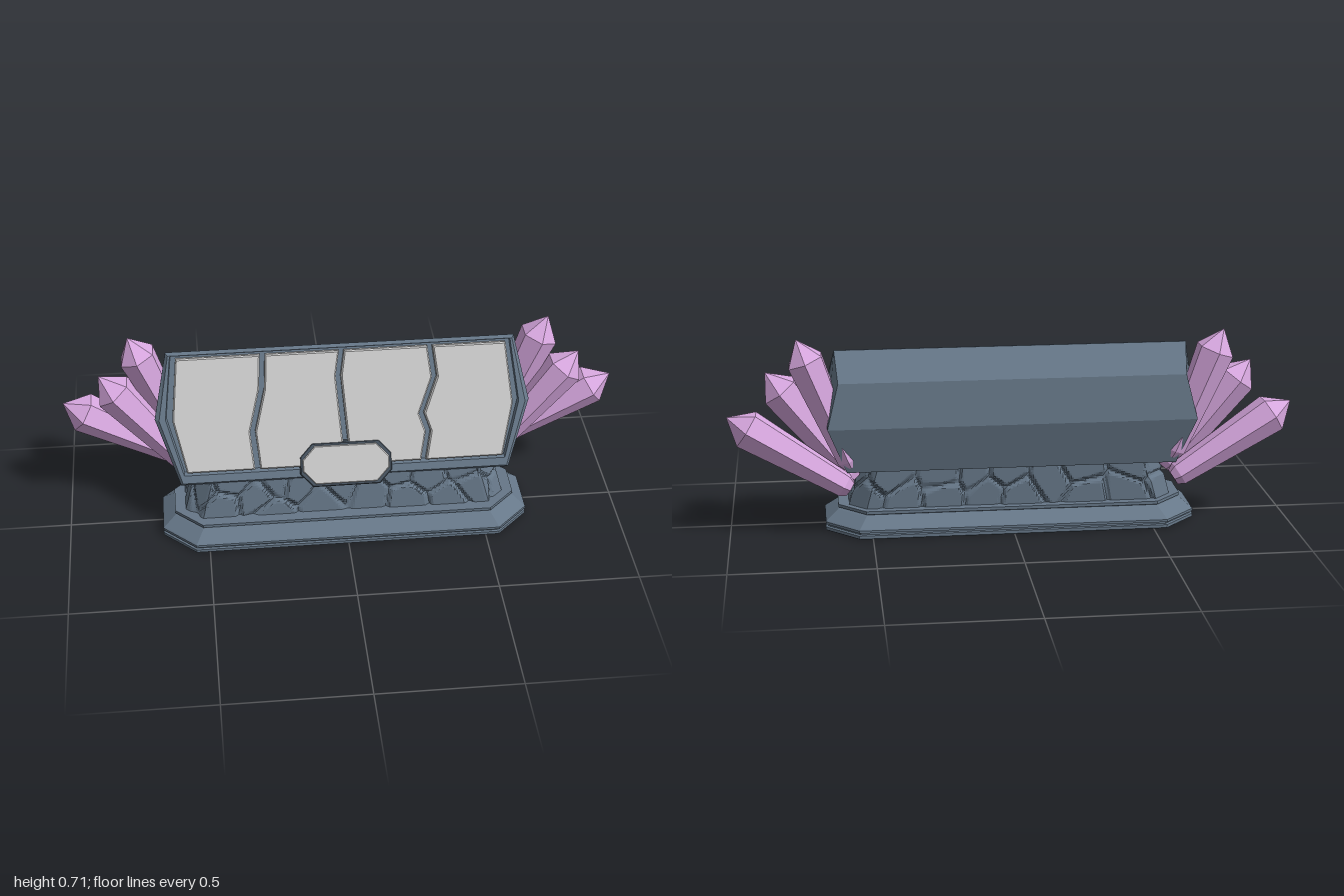
import * as THREE from 'three';

const slate = new THREE.MeshStandardMaterial({ color: 0x667788, flatShading: true });
const darkSlate = new THREE.MeshStandardMaterial({ color: 0x485460, flatShading: true });
const stone = new THREE.MeshStandardMaterial({ color: 0xcccccc, flatShading: true });
const violet = new THREE.MeshStandardMaterial({ color: 0xd8a8e0, flatShading: true });

function add(parent, name, geometry, material) {
  const mesh = new THREE.Mesh(geometry, material);
  mesh.name = name;
  parent.add(mesh);
  return mesh;
}

// Skin a stack of closed rings; each end is closed by strips across the ring
function loft(rings) {
  const pos = [];
  const quad = (a, b, c, d) => pos.push(...a, ...b, ...c, ...a, ...c, ...d);
  const n = rings[0].length;
  for (let r = 0; r < rings.length - 1; r++) {
    for (let i = 0; i < n; i++) {
      const j = (i + 1) % n;
      quad(rings[r][i], rings[r][j], rings[r + 1][j], rings[r + 1][i]);
    }
  }
  const first = rings[0], last = rings[rings.length - 1];
  for (let i = 0; i < n / 2 - 1; i++) {
    const k = n - 1 - i;
    quad(first[k], first[k - 1], first[i + 1], first[i]);
    quad(last[i], last[i + 1], last[k - 1], last[k]);
  }
  const g = new THREE.BufferGeometry();
  g.setAttribute('position', new THREE.Float32BufferAttribute(pos, 3));
  g.computeVertexNormals();
  return g;
}

// Rectangle with cut corners, counter-clockwise from above
function octagon(hx, front, back, cut, y) {
  return [
    [hx, y, front - cut], [hx, y, back + cut], [hx - cut, y, back], [-hx + cut, y, back],
    [-hx, y, back + cut], [-hx, y, front - cut], [-hx + cut, y, front], [hx - cut, y, front],
  ];
}

// Stepped plinth: [y, inset]
function plinth() {
  const profile = [[0, 0.004], [0.003, 0], [0.014, 0], [0.016, 0.008], [0.022, 0.008], [0.024, 0],
    [0.033, 0], [0.037, 0.004], [0.07, 0.045], [0.074, 0.052], [0.077, 0.046], [0.088, 0.046], [0.088, 0.055]];
  return loft(profile.map(([y, d]) => octagon(0.663 - d, 0.21 - d, -0.207 + d, 0.115 - d * 0.4, y)));
}

// Rough stone foot: broad cells of rock with shallow joints
function rockFoot() {
  let seed = 11;
  const rnd = () => (seed = (seed * 16807) % 2147483647) / 2147483647;
  const rows = 20, nu = 18, nv = 2, length = 2.5, height = 0.165;
  const seeds = [];
  for (let i = 0; i < nu; i++) {
    for (let j = 0; j < nv; j++) {
      seeds.push([(i + 0.5 * j + 0.1 + 0.7 * rnd()) / nu, (j + 0.1 + 0.8 * rnd()) / nv, rnd()]);
    }
  }
  const relief = (u, v) => {
    let d1 = 9, d2 = 9, lift = 0;
    for (const [su, sv, h] of seeds) {
      let du = Math.abs(u - su) % 1;
      du = Math.min(du, 1 - du) * length;
      const d = Math.hypot(du, (v - sv) * height);
      if (d < d1) { d2 = d1; d1 = d; lift = h; } else if (d < d2) d2 = d;
    }
    const body = THREE.MathUtils.smoothstep(d2 - d1, 0, 0.024);
    return -0.008 + body * (0.007 + 0.006 * lift);
  };
  const outline = (v) => octagon(0.58 - 0.045 * v, 0.122 - 0.03 * v, -0.13, 0.06, 0.08 + height * v)
    .map((p) => new THREE.Vector3(...p));
  const base = outline(0);
  const sides = base.map((p, i) => p.distanceTo(base[(i + 1) % 8]));
  const total = sides.reduce((a, b) => a + b);
  const rings = [];
  for (let r = 0; r <= rows; r++) {
    const v = r / rows, corners = outline(v), ring = [];
    let walked = 0;
    corners.forEach((a, i) => {
      const b = corners[(i + 1) % 8], t = b.clone().sub(a).normalize();
      const steps = Math.round(sides[i] / 0.008);
      for (let k = 0; k < steps; k++) {
        const p = a.clone().lerp(b, k / steps);
        const d = relief((walked + sides[i] * k / steps) / total, v);
        ring.push([p.x - t.z * d, p.y, p.z + t.x * d]);
      }
      walked += sides[i];
    });
    rings.push(ring);
  }
  return loft(rings);
}

// Leaning block: six-sided rings from the back to the framed front
const SLOPE = 0.43, STRETCH = Math.hypot(1, SLOPE);
const onFront = (hx, y, w) => [hx, y, 0.095 - SLOPE * (y - 0.22) + w * STRETCH];
function block() {
  const ring = (top, mid, low) => {
    const half = [low, mid, top];
    return [...half, ...half.map(([x, y, z]) => [-x, y, z]).reverse()];
  };
  const front = (t, m, l, w) => ring(onFront(t[0], t[1], w), onFront(m[0], m[1], w), onFront(l[0], l[1], w));
  return loft([
    ring([0.61, 0.56, -0.18], [0.65, 0.4, -0.197], [0.585, 0.23, -0.15]),
    ring([0.62, 0.66, -0.1], [0.66, 0.44, -0.005], [0.585, 0.235, -0.05]),
    front([0.62, 0.66], [0.67, 0.445], [0.59, 0.22], 0),
    front([0.612, 0.657], [0.655, 0.445], [0.583, 0.232], 0.012),
    front([0.605, 0.655], [0.632, 0.447], [0.577, 0.258], 0.012),
    front([0.602, 0.653], [0.629, 0.447], [0.575, 0.262], -0.004),
  ]);
}

// Flat plate with bevelled edge in the plane of the leaning front
function plate(points, depth, bevel) {
  const shape = new THREE.Shape(points.map(([x, y]) => new THREE.Vector2(x, (y - 0.22) * STRETCH)));
  return new THREE.ExtrudeGeometry(shape, {
    depth: depth - bevel, bevelEnabled: true, bevelSegments: 1,
    bevelSize: bevel, bevelOffset: -bevel, bevelThickness: bevel,
  });
}

// Six-sided crystal between two points
function crystal(parent, base, tip, radius, name) {
  const a = new THREE.Vector3(...base), b = new THREE.Vector3(...tip);
  const len = a.distanceTo(b);
  const profile = [[0, 0], [radius * 0.42, 0], [radius * 0.62, 0.025], [radius, len - 0.082], [0, len]]
    .map(([r, y]) => new THREE.Vector2(r, y));
  const mesh = add(parent, name, new THREE.LatheGeometry(profile, 6), violet);
  mesh.position.copy(a);
  mesh.quaternion.setFromUnitVectors(new THREE.Vector3(0, 1, 0), b.sub(a).normalize());
}

export function createModel() {
  const model = new THREE.Group();
  model.name = 'crystalSignStand';
  add(model, 'plinth', plinth(), slate);
  add(model, 'rockFoot', rockFoot(), slate);
  add(model, 'leaningBlock', block(), slate);

  const face = new THREE.Group();
  face.name = 'frontFace';
  face.position.set(0, 0.22, 0.095);
  face.rotation.x = -Math.atan(SLOPE);
  model.add(face);

  // Four slabs divided by crooked seams, listed top to bottom
  const top = 0.643, low = 0.264;
  const seams = [
    [[-0.595, top], [-0.617, 0.44], [-0.575, low]],
    [[-0.28, top], [-0.288, 0.53], [-0.327, 0.39], [-0.315, low]],
    [[0, top], [-0.015, 0.56], [0.002, 0.34], [0.002, low]],
    [[0.315, top], [0.328, 0.54], [0.278, 0.42], [0.3, 0.36], [0.28, low]],
    [[0.595, top], [0.617, 0.44], [0.575, low]],
  ];
  const gap = 0.009;
  for (let i = 0; i < 4; i++) {
    const left = seams[i].map(([x, y]) => [x + gap, y]);
    const right = seams[i + 1].map(([x, y]) => [x - gap, y]);
    add(face, 'slab' + (i + 1), plate([...left, ...right.reverse()], 0.029, 0.005), stone);
  }

  // Cut-corner plaque with a dark rim over the lower edge
  const plaque = (d) => {
    const x = 0.165 - d, y0 = 0.194 + d, y1 = 0.342 - d, c = 0.045;
    return [[x - c, y0], [x, y0 + c], [x, y1 - c], [x - c, y1], [c - x, y1], [-x, y1 - c], [-x, y0 + c], [c - x, y0]];
  };
  add(face, 'plaqueRim', plate(plaque(0), 0.031, 0.004), darkSlate);
  add(face, 'plaque', plate(plaque(0.01), 0.035, 0.003), stone);

  // Three crystals fan out on each side
  for (const s of [1, -1]) {
    const cluster = new THREE.Group();
    cluster.name = s > 0 ? 'leftCrystals' : 'rightCrystals';
    model.add(cluster);
    crystal(cluster, [s * 0.575, 0.175, -0.155], [s * 0.997, 0.443, -0.14], 0.072, 'lowCrystal');
    crystal(cluster, [s * 0.56, 0.19, -0.075], [s * 0.86, 0.585, -0.085], 0.072, 'middleCrystal');
    crystal(cluster, [s * 0.57, 0.25, -0.13], [s * 0.75, 0.71, -0.131], 0.07, 'tallCrystal');
  }
  return model;
}
